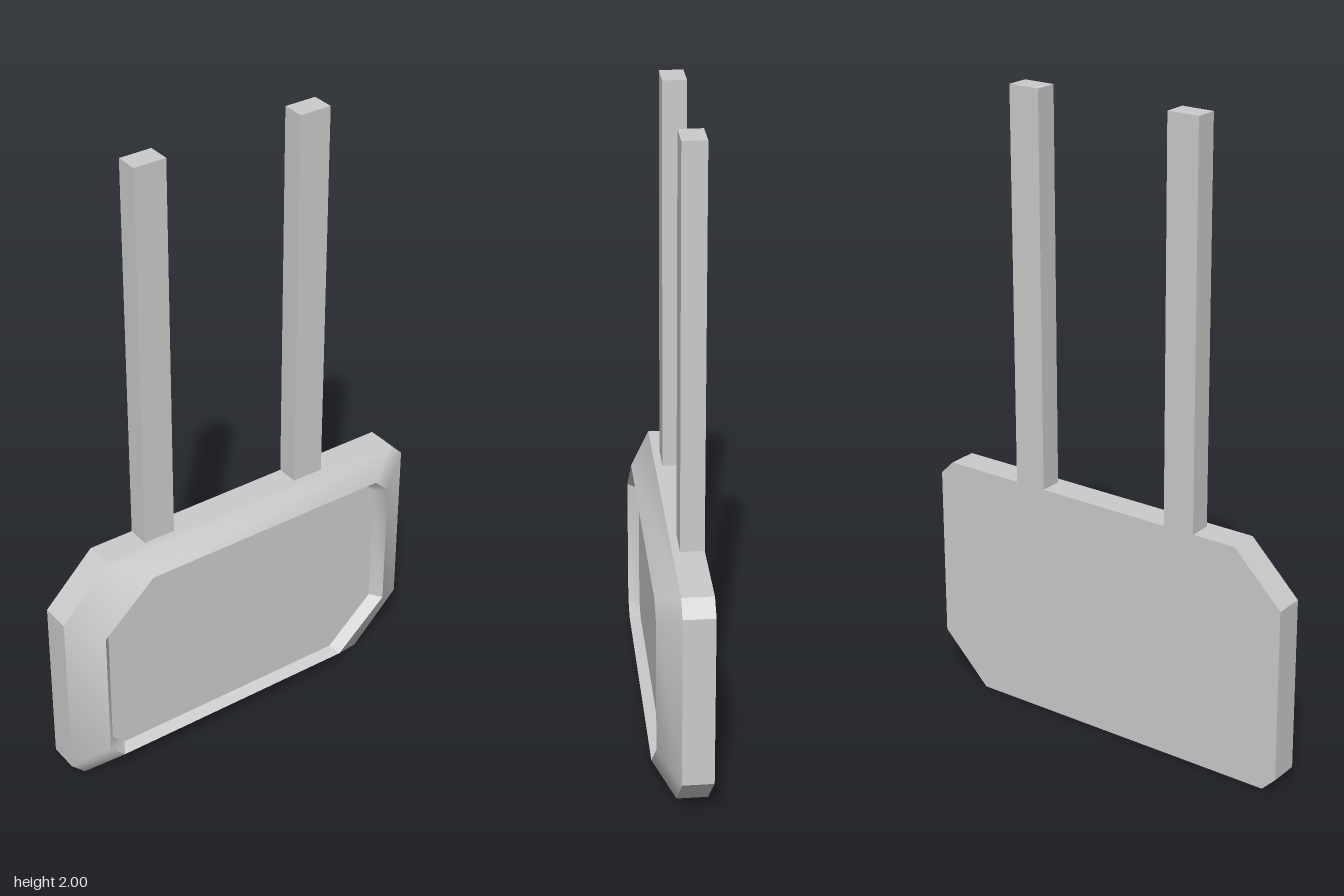
import * as THREE from 'three';
import { toCreasedNormals } from 'three/addons/utils/BufferGeometryUtils.js';

const CENTER_Y = 0.38;

// Counter-clockwise octagon with a big cut (bx, by) on one diagonal and a small cut s on the other
function plateRing(w, h, bx, by, s, z) {
  const half = [[w, -h + by], [w, h - s], [w - s, h], [-w + bx, h]];
  return [...half, ...half.map(([x, y]) => [-x, -y])]
    .map(([x, y]) => new THREE.Vector3(x, y + CENTER_Y, z));
}

// Skins consecutive rings, from back to front
function skin(rings) {
  const pts = [];
  for (let r = 0; r < rings.length - 1; r++) {
    const a = rings[r], b = rings[r + 1], n = a.length;
    for (let i = 0; i < n; i++) {
      const j = (i + 1) % n;
      pts.push(a[i], a[j], b[j], a[i], b[j], b[i]);
    }
  }
  return toCreasedNormals(new THREE.BufferGeometry().setFromPoints(pts), 0.65);
}

// Flat convex face
function cap(ring, back) {
  const pts = [];
  for (let i = 1; i < ring.length - 1; i++) {
    pts.push(ring[0], ring[back ? i + 1 : i], ring[back ? i : i + 1]);
  }
  const geo = new THREE.BufferGeometry().setFromPoints(pts);
  geo.computeVertexNormals();
  return geo;
}

export function createModel() {
  const group = new THREE.Group();
  const material = new THREE.MeshStandardMaterial({ color: 0xcccccc });
  const add = (name, geometry) => {
    const mesh = new THREE.Mesh(geometry, material);
    mesh.name = name;
    group.add(mesh);
    return mesh;
  };

  const back = plateRing(0.633, 0.38, 0.16, 0.16, 0.045, -0.08);
  const shoulder = plateRing(0.633, 0.38, 0.16, 0.16, 0.045, 0.015);
  const rim = plateRing(0.53, 0.318, 0.173, 0.155, 0.05, 0.08);
  const recess = plateRing(0.5, 0.302, 0.158, 0.143, 0.042, 0.045);

  // Sign body: side walls, bevelled frame, recessed panel and back
  add('signSides', skin([back, shoulder]));
  add('signBevel', skin([shoulder, rim]));
  add('recessWalls', skin([rim, recess]));
  add('signPanel', cap(recess, false));
  add('signBack', cap(back, true));

  // Hanging posts
  for (const [name, side] of [['leftPost', 1], ['rightPost', -1]]) {
    add(name, new THREE.BoxGeometry(0.104, 1.24, 0.072)).position.set(side * 0.276, 1.38, -0.044);
  }
  return group;
}
